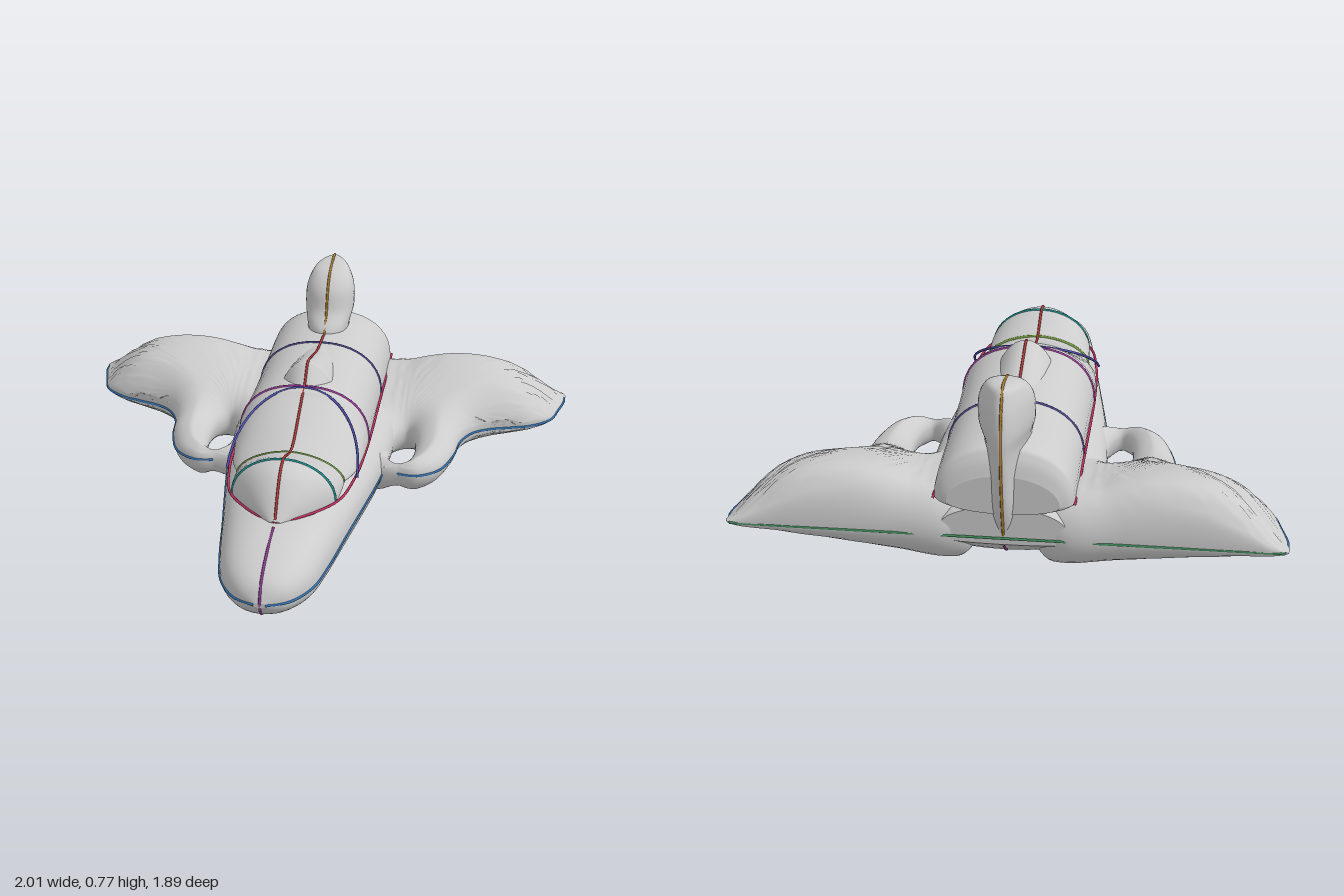
import * as THREE from 'three';

const grey = new THREE.MeshStandardMaterial({ color: 0xcccccc });
const RIM = 0.17, DECK = 0.32;
const spow = (v, e) => Math.sign(v) * Math.pow(Math.abs(v), e);

// Smoothly resample a table of section rows
function refine(rows, n = 5) {
  const out = [];
  for (let i = 0; i < rows.length - 1; i++) {
    const a = rows[Math.max(i - 1, 0)], b = rows[i], c = rows[i + 1], d = rows[Math.min(i + 2, rows.length - 1)];
    for (let k = 0; k < n; k++) {
      const t = k / n;
      out.push(b.map((_, j) => 0.5 * (2 * b[j] + (c[j] - a[j]) * t + (2 * a[j] - 5 * b[j] + 4 * c[j] - d[j]) * t * t
        + (3 * b[j] - a[j] - 3 * c[j] + d[j]) * t * t * t)));
    }
  }
  out.push(rows[rows.length - 1]);
  return out;
}

// Skin closed rings of points, with fan caps, always facing outward
function loft(rings, capped = true) {
  const n = rings[0].length, pos = rings.flat(2), idx = [];
  for (let i = 0; i < rings.length - 1; i++)
    for (let j = 0; j < n; j++) {
      const a = i * n + j, b = i * n + (j + 1) % n;
      idx.push(a, b, a + n, b, b + n, a + n);
    }
  for (const end of capped ? [0, rings.length - 1] : []) {
    const mid = pos.length / 3, dup = mid + 1;
    pos.push(...[0, 1, 2].map(k => rings[end].reduce((s, p) => s + p[k], 0) / n), ...rings[end].flat());
    for (let j = 0; j < n; j++) {
      const a = dup + j, b = dup + (j + 1) % n;
      if (end) idx.push(a, b, mid); else idx.push(b, a, mid);
    }
  }
  const P = i => new THREE.Vector3().fromArray(pos, i * 3);
  let volume = 0;
  for (let i = 0; i < idx.length; i += 3) volume += P(idx[i]).dot(P(idx[i + 1]).cross(P(idx[i + 2])));
  if (volume < 0) idx.reverse();
  const g = new THREE.BufferGeometry();
  g.setAttribute('position', new THREE.Float32BufferAttribute(pos, 3));
  g.setIndex(idx);
  g.computeVertexNormals();
  return g;
}

const ring = (n, f) => Array.from({ length: n }, (_, j) => f(j / n * Math.PI * 2));

// Dome sections standing on the deck: [z, half width, top y, roundness]
const dome = rows => loft(refine(rows).map(([z, w, top, e]) => ring(40, a => {
  const s = Math.sin(a);
  return [w * spow(Math.cos(a), e), s > 0 ? DECK + (top - DECK) * Math.pow(s, e) : DECK + 0.04 * s, z];
})));

// Wing outline, matched to angles round its opening: [angle in degrees, x, z]
const wingRows = [
  [90, 0.37, -0.062], [60, 0.45, -0.058], [30, 0.53, -0.12], [0, 0.575, -0.25], [-25, 0.592, -0.37],
  [-45, 0.635, -0.455], [-62, 0.7, -0.5], [-74, 0.79, -0.53], [-80, 0.87, -0.56], [-84, 0.945, -0.625],
  [-87, 0.975, -0.72], [-89, 0.997, -0.82], [-91, 0.985, -0.88], [-94, 0.82, -0.885], [-97, 0.6, -0.885],
  [-101, 0.4, -0.885], [-108, 0.2, -0.885], [-125, 0.1, -0.8], [-150, 0.1, -0.5], [-180, 0.1, -0.25],
  [-215, 0.13, -0.1], [-240, 0.22, -0.075], [-255, 0.3, -0.065], [-270, 0.37, -0.062]];
// Highest wing surface along the span: [x, y]
const crest = refine([[0, 0.32], [0.3, 0.335], [0.42, 0.365], [0.52, 0.385], [0.64, 0.388], [0.74, 0.37],
  [0.82, 0.335], [0.9, 0.275], [0.96, 0.225], [1.01, 0.19]]);

// Plate swollen between the outline and the opening, rounded toward both edges
function wing(side) {
  const outline = refine(wingRows, 8);
  const opening = outline.map(([a]) => {
    const t = THREE.MathUtils.degToRad(a);
    return [0, 0.37 + 0.05 * Math.cos(t), -0.25 + 0.155 * Math.sin(t)];
  });
  const edges = [...outline, ...opening], mid = RIM + 0.012;
  return loft(outline.map(([, ox, oz], i) => {
    const [, hx, hz] = opening[i], steps = 24, top = [], bottom = [];
    for (let k = 0; k <= steps; k++) {
      const v = (1 - Math.cos(Math.PI * k / steps)) / 2;
      const x = hx + (ox - hx) * v, z = hz + (oz - hz) * v;
      const d = Math.min(...edges.map(p => Math.hypot(p[1] - x, p[2] - z)));
      const swell = r => Math.sqrt(1 - Math.pow(1 - Math.min(1, d / r), 2));
      const peak = crest.find(c => c[0] >= x)[1] - mid;
      const high = THREE.MathUtils.lerp(peak, Math.min(peak, 0.075), THREE.MathUtils.smoothstep(z, -0.78, -0.25));
      top.push([side * x, mid + high * swell(0.12), z]);
      bottom.push([side * x, mid - (mid - 0.02 - 0.14 * x) * swell(0.1), z]);
    }
    return [...top, ...bottom.slice(1, -1).reverse()];
  }), false);
}

export function createModel() {
  const model = new THREE.Group();
  const add = (name, geometry, material = grey) => {
    const m = new THREE.Mesh(geometry, material);
    m.name = name;
    model.add(m);
  };

  // Hull: [z, half width, bottom y, top y]
  const hullRows = [
    [0.94, 0.02, 0.16, 0.18], [0.9, 0.1, 0.11, 0.245], [0.8, 0.165, 0.075, 0.29], [0.65, 0.2, 0.045, 0.318],
    [0.42, 0.235, 0.022, 0.325], [0.2, 0.27, 0.012, 0.325], [0, 0.3, 0.006, 0.325], [-0.2, 0.32, 0.012, 0.325],
    [-0.45, 0.33, 0.024, 0.325], [-0.65, 0.33, 0.04, 0.325], [-0.78, 0.3, 0.075, 0.32], [-0.88, 0.24, 0.155, 0.3]];
  add('hull', loft(refine(hullRows).map(([z, w, lo, hi]) => ring(48, a => {
    const s = Math.sin(a), e = s > 0 ? 0.8 : 0.95;
    return [w * spow(Math.cos(a), e), RIM + spow(s, e) * (s > 0 ? hi - RIM : RIM - lo), z];
  }))));

  // Front canopy, cabin and spine
  add('canopy', dome([[0.62, 0.02, 0.325, 1], [0.56, 0.09, 0.405, 1], [0.5, 0.145, 0.462, 1], [0.43, 0.195, 0.48, 1],
    [0.35, 0.205, 0.452, 1], [0.28, 0.205, 0.43, 1.1], [0.25, 0.19, 0.4, 1.2]]));
  add('cabin', dome([[0.28, 0.2, 0.4, 1.3], [0.2, 0.235, 0.432, 1.2], [0.1, 0.25, 0.475, 1], [0, 0.255, 0.52, 0.9],
    [-0.06, 0.255, 0.54, 0.87], [-0.3, 0.25, 0.535, 0.9], [-0.5, 0.25, 0.53, 0.9], [-0.8, 0.25, 0.53, 0.88],
    [-0.86, 0.24, 0.5, 0.9], [-0.885, 0.2, 0.43, 1]]));
  add('spine', dome([[-0.06, 0.11, 0.54, 1], [-0.12, 0.13, 0.595, 1], [-0.15, 0.14, 0.605, 1], [-0.25, 0.14, 0.58, 1],
    [-0.38, 0.14, 0.545, 1], [-0.48, 0.12, 0.53, 1]]));

  // Tail fin: [y, front z, back z, half width]
  add('tailFin', loft(refine([
    [0.17, -0.8, -0.87, 0.04], [0.3, -0.78, -0.91, 0.06], [0.45, -0.6, -0.935, 0.08], [0.53, -0.575, -0.942, 0.085],
    [0.6, -0.63, -0.943, 0.1], [0.68, -0.66, -0.925, 0.097], [0.735, -0.71, -0.9, 0.075], [0.757, -0.765, -0.885, 0.05],
    [0.765, -0.81, -0.87, 0.015]]).map(([y, f, b, w]) => ring(32, a => {
    const c = Math.cos(a);
    return [w * Math.sin(a) * (1 + 0.35 * c) * 0.95, y, (f + b) / 2 + (f - b) / 2 * c];
  }))));

  // Thin coloured seam lines along the surface
  const seam = (name, color, pts) => {
    const path = new THREE.CatmullRomCurve3(pts.map(p => new THREE.Vector3(...p)), false, 'centripetal');
    add(name, new THREE.TubeGeometry(path, 60, 0.005, 6), new THREE.MeshStandardMaterial({ color }));
  };
  const arch = (name, color, z, w, top, e) => seam(name, color, Array.from({ length: 17 }, (_, i) => {
    const a = Math.PI * i / 16;
    return [w * spow(Math.cos(a), e), DECK + (top - DECK) * Math.pow(Math.abs(Math.sin(a)), e), z];
  }));
  arch('canopyArch', 0x1f9a9a, 0.43, 0.195, 0.48, 1);
  arch('canopyRearArch', 0x7fae45, 0.28, 0.205, 0.43, 1.1);
  arch('cabinArch', 0xb040b0, -0.06, 0.255, 0.54, 0.87);
  arch('rearArch', 0x5050a0, -0.49, 0.25, 0.53, 0.9);
  seam('windshieldSeam', 0x5050b0, Array.from({ length: 17 }, (_, i) => {
    const t = Math.sin(Math.PI * i / 16);
    return [0.25 * Math.cos(Math.PI * i / 16), 0.325 + 0.215 * t, 0.25 - 0.3 * t];
  }));
  seam('keelSeam', 0x8a3a90, [...hullRows.slice(0, 4).reverse().map(r => [0, r[3], r[0]]),
    ...hullRows.map(r => [0, r[2], r[0]])]);
  seam('topSeam', 0xb03a3a, [[0, 0.33, 0.615], [0, 0.408, 0.56], [0, 0.465, 0.5], [0, 0.482, 0.43], [0, 0.432, 0.28],
    [0, 0.435, 0.2], [0, 0.478, 0.1], [0, 0.523, 0], [0, 0.543, -0.06], [0, 0.598, -0.12], [0, 0.607, -0.15],
    [0, 0.582, -0.25], [0, 0.547, -0.38], [0, 0.533, -0.56]]);
  seam('finSeam', 0xb08030, [[0, 0.53, -0.575], [0, 0.6, -0.63], [0, 0.68, -0.66], [0, 0.735, -0.71], [0, 0.765, -0.81],
    [0, 0.765, -0.87], [0, 0.68, -0.925], [0, 0.53, -0.942], [0, 0.3, -0.91], [0, 0.17, -0.87]]);
  seam('trailingSeam', 0x3f8a5a, [[-0.985, 0.182, -0.882], [0, 0.182, -0.885], [0.985, 0.182, -0.882]]);

  for (const [side, s] of [['left', 1], ['right', -1]]) {
    add(side + 'Wing', wing(s));
    seam(side + 'DeckSeam', 0xc03060, [[0, DECK, 0.62], [s * 0.09, DECK, 0.56], [s * 0.2, DECK, 0.43],
      [s * 0.24, DECK, 0.25], [s * 0.255, DECK, 0], [s * 0.255, DECK, -0.4], [s * 0.25, DECK, -0.87]]);
    seam(side + 'RimSeam', 0x3070b0, hullRows.slice(0, 8).map(r => [s * r[1], RIM, r[0]]));
    seam(side + 'WingRimSeam', 0x3070b0, wingRows.slice(0, 13).map(r => [s * r[1], RIM + 0.012, r[2]]));
  }
  return model;
}
